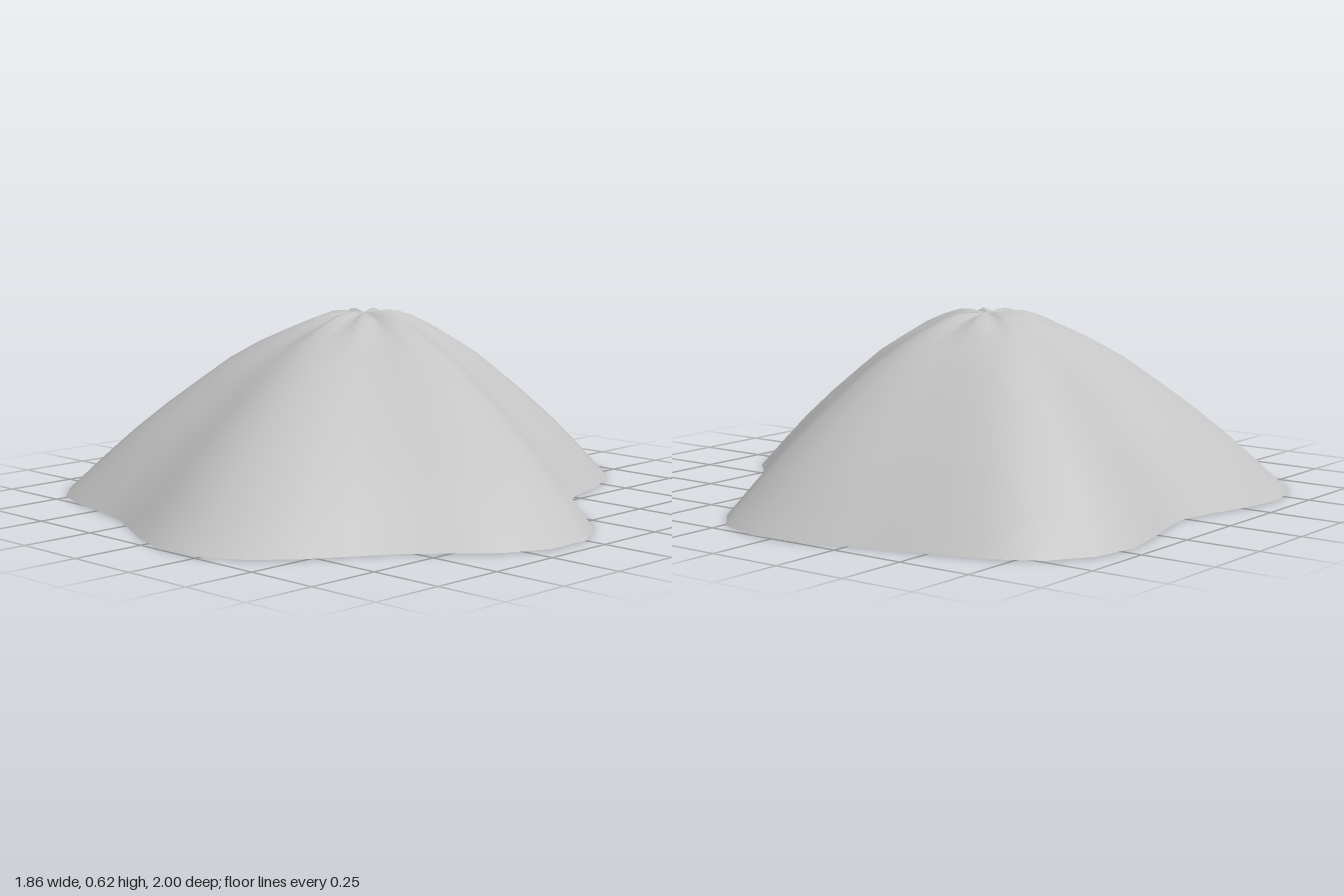
import * as THREE from 'three';

// Foot of the hill as x, z pairs, clockwise seen from above
const OUTLINE = [
  0.08, -1, 0.24, -0.95, 0.35, -0.83, 0.42, -0.68, 0.46, -0.53, 0.51, -0.42, 0.6, -0.34,
  0.73, -0.25, 0.85, -0.14, 0.925, 0, 0.925, 0.165, 0.855, 0.31, 0.75, 0.42, 0.65, 0.53,
  0.57, 0.65, 0.49, 0.78, 0.38, 0.905, 0.24, 0.985, 0.08, 0.995, -0.07, 0.945, -0.2, 0.88,
  -0.33, 0.815, -0.47, 0.78, -0.62, 0.75, -0.77, 0.695, -0.88, 0.59, -0.92, 0.435,
  -0.9, 0.275, -0.86, 0.13, -0.835, 0, -0.855, -0.115, -0.9, -0.27, -0.935, -0.44,
  -0.91, -0.6, -0.82, -0.735, -0.675, -0.82, -0.515, -0.87, -0.37, -0.905, -0.22, -0.95,
  -0.08, -0.99,
];

// Slope: fraction of the way from summit to foot, height
const PROFILE = [
  [0.04, 0.613], [0.08, 0.612], [0.13, 0.606], [0.19, 0.587], [0.26, 0.56], [0.35, 0.515],
  [0.45, 0.458], [0.55, 0.385], [0.66, 0.303], [0.78, 0.205], [0.89, 0.105], [1, 0],
];

const SUMMIT = new THREE.Vector3(-0.14, 0.613, -0.11);

function hillGeometry() {
  const n = OUTLINE.length / 2;
  const positions = [...SUMMIT.toArray()];
  const index = [];

  PROFILE.forEach(([t, height], ring) => {
    // Small radial creases that fade out away from the summit
    const crease = 0.011 * Math.sin(Math.PI * Math.min(t / 0.32, 1));
    for (let i = 0; i < n; i++) {
      const x = THREE.MathUtils.lerp(SUMMIT.x, OUTLINE[2 * i], t);
      const z = THREE.MathUtils.lerp(SUMMIT.z, OUTLINE[2 * i + 1], t);
      const angle = (i / n) * Math.PI * 2;
      positions.push(x, height + crease * Math.sin(angle * 9 + 0.6), z);

      // Fan around the summit, then quads between rings
      const j = (i + 1) % n;
      const a = 1 + ring * n + i;
      const b = 1 + ring * n + j;
      if (ring === 0) index.push(0, b, a);
      else index.push(a - n, b - n, b, a - n, b, a);
    }
  });

  const geometry = new THREE.BufferGeometry();
  geometry.setAttribute('position', new THREE.Float32BufferAttribute(positions, 3));
  geometry.setIndex(index);
  geometry.computeVertexNormals();
  return geometry;
}

export function createModel() {
  const group = new THREE.Group();
  group.name = 'hill';

  // Open shell, hollow underneath
  const stone = new THREE.MeshStandardMaterial({ color: 0xc4c4c4, side: THREE.DoubleSide });
  stone.name = 'stone grey';
  const slope = new THREE.Mesh(hillGeometry(), stone);
  slope.name = 'hillSlope';
  group.add(slope);
  return group;
}
